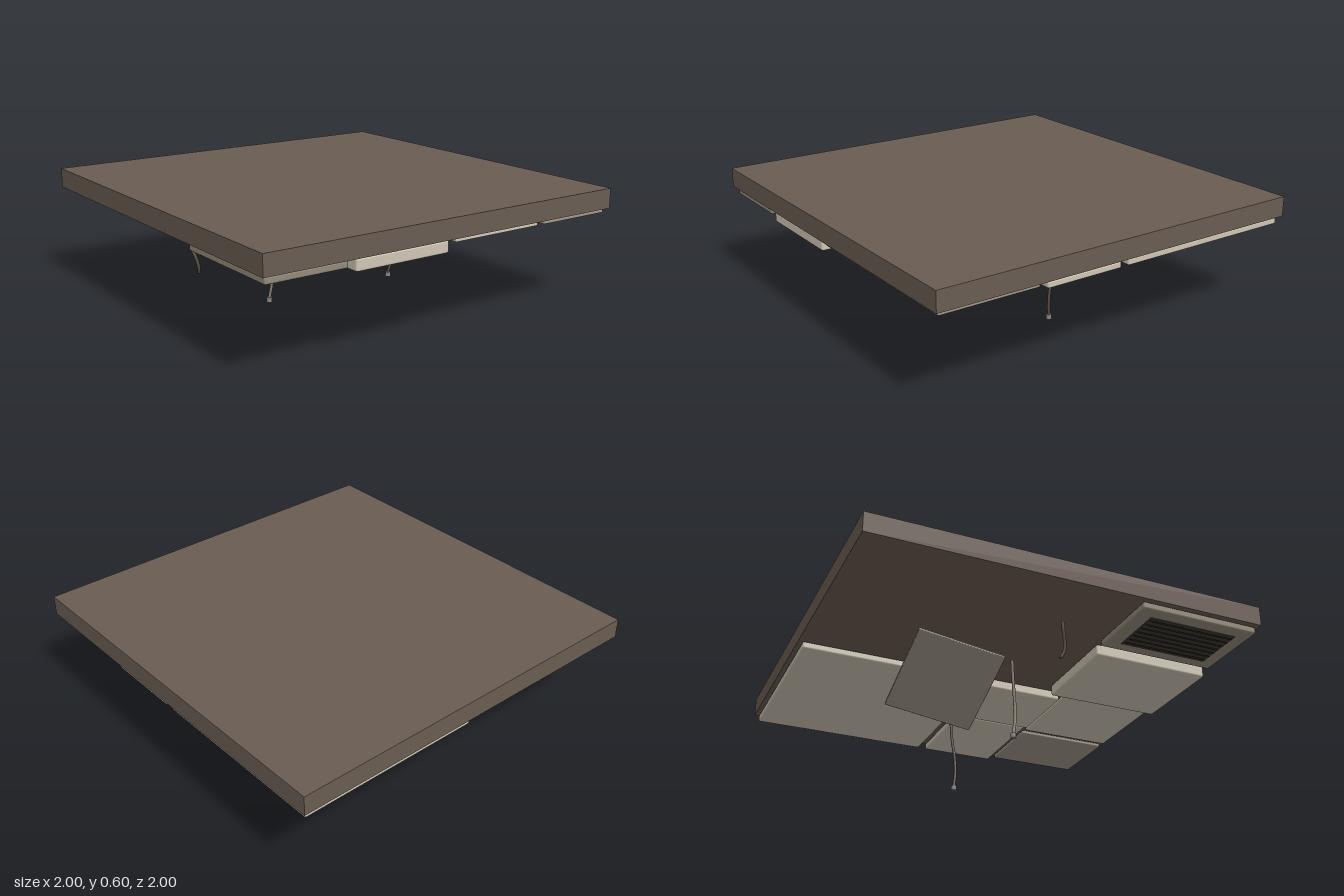
import * as THREE from 'three';
import { RoundedBoxGeometry } from 'three/addons/geometries/RoundedBoxGeometry.js';

const mat = (name, color) => {
  const m = new THREE.MeshStandardMaterial({ color });
  m.name = name;
  return m;
};

export function createModel() {
  const model = new THREE.Group();
  model.name = 'damagedCeiling';

  const slabBrown = mat('slabBrown', 0x6a5d52);
  const cream = mat('creamPanel', 0xcfc7b5);
  const stained = mat('stainedPanel', 0xa0988a);
  const ventGrey = mat('ventGrey', 0x938a7a);
  const dark = mat('darkVent', 0x3f3933);
  const wireTan = mat('tanWire', 0x8f8172);
  const wireBrown = mat('brownWire', 0x62554a);
  const metal = mat('wireTip', 0x8e8784);

  const add = (name, geometry, material, parent = model) => {
    const mesh = new THREE.Mesh(geometry, material);
    mesh.name = name;
    parent.add(mesh);
    return mesh;
  };

  // Ceiling slab
  add('slab', new THREE.BoxGeometry(2, 0.1, 2), slabBrown).position.y = 0.55;

  // Panels under the slab: x range, z range, y range
  const panel = (name, [x0, x1], [z0, z1], [y0, y1], material) => {
    const h = y1 - y0;
    const geometry = new RoundedBoxGeometry(x1 - x0, h, z1 - z0, 2, Math.min(0.01, h * 0.35));
    add(name, geometry, material).position.set((x0 + x1) / 2, (y0 + y1) / 2, (z0 + z1) / 2);
  };
  panel('largePanel', [-0.98, -0.02], [-0.98, -0.02], [0.458, 0.495], cream);
  panel('stainedPanel', [0.47, 0.98], [-0.98, -0.57], [0.476, 0.497], stained);
  panel('backInnerPanel', [0.02, 0.43], [-0.98, -0.47], [0.457, 0.492], cream);
  panel('middleOuterPanel', [0.47, 0.98], [-0.53, -0.02], [0.477, 0.495], cream);
  panel('middleInnerPanel', [0.02, 0.43], [-0.43, -0.02], [0.44, 0.49], cream);
  panel('thickPanel', [0.36, 0.98], [0.02, 0.53], [0.435, 0.495], cream);
  panel('ventHousing', [0.36, 0.98], [0.57, 0.98], [0.46, 0.497], ventGrey);

  // Vent opening with tilted slats
  const vent = new THREE.Group();
  vent.name = 'vent';
  model.add(vent);
  add('ventOpening', new THREE.BoxGeometry(0.47, 0.004, 0.28), dark, vent).position.set(0.67, 0.4595, 0.775);
  for (let i = 0; i < 7; i++) {
    const slat = add('ventSlat', new THREE.BoxGeometry(0.45, 0.006, 0.022), dark, vent);
    slat.position.set(0.67, 0.456, 0.66 + i * 0.0383);
    slat.rotation.x = 0.6;
  }

  // Fallen tile hanging at an angle
  const tile = add('hangingTile', new RoundedBoxGeometry(0.44, 0.02, 0.44, 2, 0.004), stained);
  tile.position.set(-0.365, 0.24, 0.33);
  tile.rotation.set(-0.55, 0, -0.136, 'ZXY');

  // Dangling wires
  const wire = (name, points, radius, material, tipped) => {
    const path = points.map((p) => new THREE.Vector3(...p));
    const curve = new THREE.CatmullRomCurve3(path);
    const group = new THREE.Group();
    group.name = name;
    model.add(group);
    add('wireStrand', new THREE.TubeGeometry(curve, 24, radius, 8), material, group);
    const ends = [path[0], path[path.length - 1]];
    ends.forEach((p, i) => {
      const cap = add('wireEnd', new THREE.CylinderGeometry(radius, radius, 0.003, 8), material, group);
      cap.position.copy(p);
    });
    if (tipped) {
      const tip = add('wireTip', new THREE.CylinderGeometry(0.014, 0.014, 0.025, 10), metal, group);
      tip.position.copy(ends[1]).setY(0.0125);
    }
  };
  wire('frontWire', [[-0.017, 0.41, 0.345], [-0.008, 0.31, 0.335], [0.003, 0.2, 0.326], [0.004, 0.11, 0.327], [-0.01, 0.02, 0.335]],
    0.008, wireTan, true);
  wire('backWire', [[-0.017, 0.41, -0.467], [-0.01, 0.31, -0.465], [0.003, 0.2, -0.455], [0.003, 0.11, -0.443], [-0.01, 0.02, -0.428]],
    0.008, wireBrown, true);
  wire('shortWire', [[0.03, 0.41, 0.797], [0.038, 0.36, 0.79], [0.05, 0.31, 0.775], [0.05, 0.27, 0.765], [0.036, 0.24, 0.758]],
    0.008, wireBrown, false);

  return model;
}
